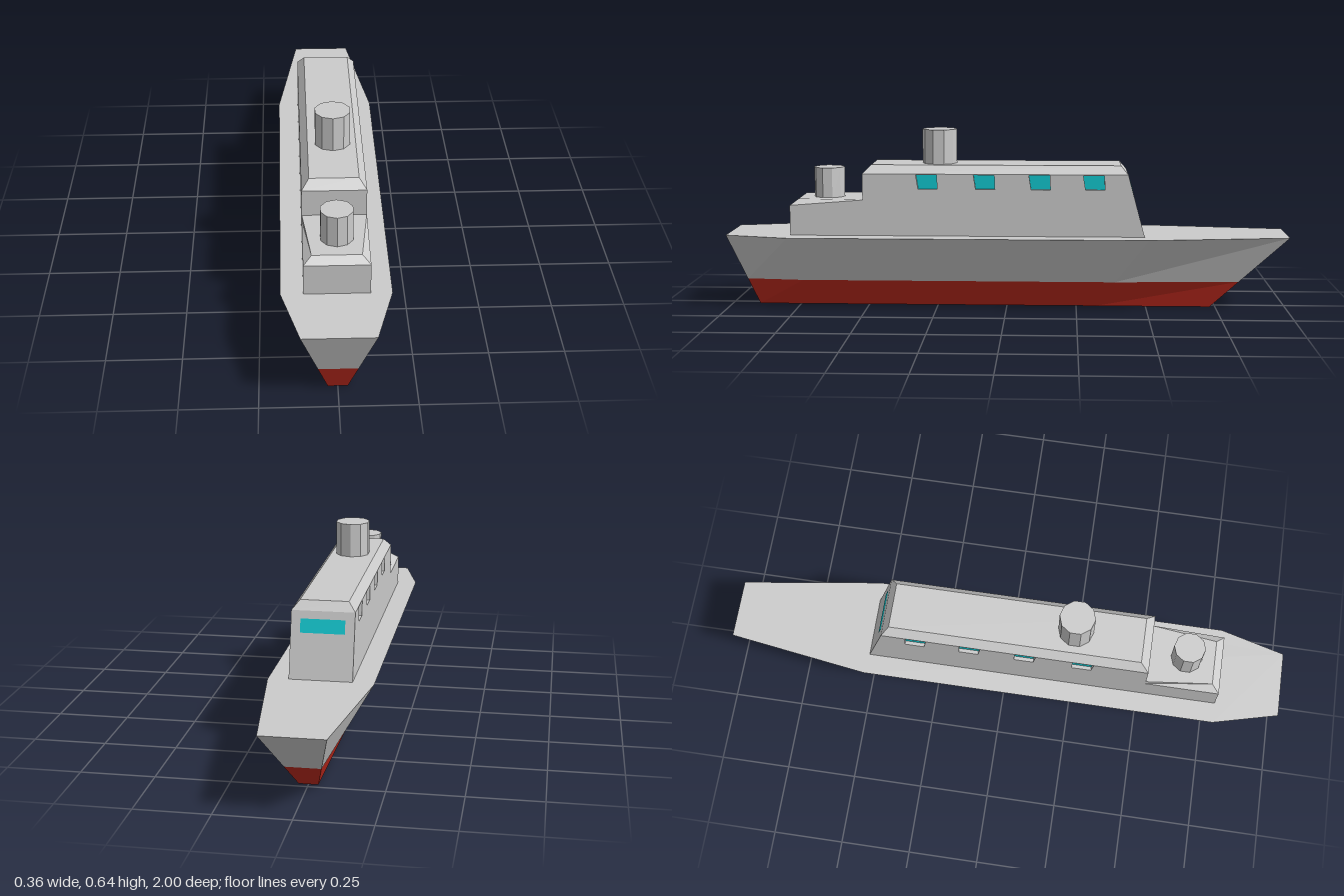
import * as THREE from 'three';

const grey = new THREE.MeshStandardMaterial({ color: 0xcccccc, flatShading: true });
const red = new THREE.MeshStandardMaterial({ color: 0xc02a1e, flatShading: true });
const glass = new THREE.MeshStandardMaterial({ color: 0x10c8d0, flatShading: true, side: THREE.DoubleSide });

// Closed solid through horizontal rings of [x, y, z], bottom to top, counter-clockwise from above
function loft(rings) {
  const pos = [];
  const tri = (a, b, c) => pos.push(...a, ...b, ...c);
  const n = rings[0].length;
  for (let r = 0; r < rings.length - 1; r++) {
    for (let i = 0; i < n; i++) {
      const j = (i + 1) % n, lo = rings[r], hi = rings[r + 1];
      tri(lo[i], lo[j], hi[j]);
      tri(lo[i], hi[j], hi[i]);
    }
  }
  const base = rings[0], top = rings[rings.length - 1];
  for (let i = 1; i < n - 1; i++) {
    tri(base[0], base[i + 1], base[i]);
    tri(top[0], top[i], top[i + 1]);
  }
  const g = new THREE.BufferGeometry();
  g.setAttribute('position', new THREE.Float32BufferAttribute(pos, 3));
  g.computeVertexNormals();
  return g;
}

// Symmetric ring from [halfWidth, z] stations listed from +z to -z
function ring(y, stations) {
  const right = stations.map(([w, z]) => [w, y, z]);
  const left = stations.map(([w, z]) => [-w, y, z]).reverse();
  return [...right, ...left];
}

// Side outline of [z, y] points, extruded along +x from x0
const outline = (pts) => pts.map(([z, y]) => new THREE.Vector2(-z, y));
function sideExtrude(pts, x0, depth, holes = []) {
  const shape = new THREE.Shape(outline(pts));
  holes.forEach((h) => shape.holes.push(new THREE.Path(outline(h))));
  return new THREE.ExtrudeGeometry(shape, { depth, bevelEnabled: false })
    .rotateY(Math.PI / 2).translate(x0, 0, 0);
}

function add(parent, name, geometry, material) {
  const mesh = new THREE.Mesh(geometry, material);
  mesh.name = name;
  parent.add(mesh);
  return mesh;
}

export function createModel() {
  const ship = new THREE.Group();
  ship.name = 'ship';

  // Hull: keel and deck outlines, blended at the waterline
  const deckY = 0.265, waterY = 0.098;
  const keel = [[0.032, 0.9], [0.032, 0.71], [0.032, -0.32], [0.032, -0.73]];
  const deck = [[0.118, 1], [0.178, 0.77], [0.178, -0.5], [0.106, -1]];
  const t = waterY / deckY;
  const water = keel.map((k, i) => k.map((v, c) => v + (deck[i][c] - v) * t));
  add(ship, 'lowerHull', loft([ring(0, keel), ring(waterY, water)]), red);
  add(ship, 'upperHull', loft([ring(waterY, water), ring(deckY, deck)]), grey);

  const house = new THREE.Group();
  house.name = 'deckhouse';
  house.position.x = 0.002;
  ship.add(house);

  // Main cabin: solid core with pierced side walls
  const half = 0.107, wall = 0.015, eaveY = 0.486;
  const profile = [[0.51, deckY], [-0.49, deckY], [-0.43, eaveY], [0.51, eaveY]];
  const windows = [0.282, 0.078, -0.118, -0.31].map((c) => [
    [c + 0.03, 0.432], [c - 0.038, 0.432], [c - 0.036, 0.483], [c + 0.038, 0.483],
  ]);
  const inner = half - wall;
  add(house, 'cabinCore', sideExtrude(profile, -inner, inner * 2), grey);
  for (const [side, wallX, paneX] of [['left', inner, inner], ['right', -half, -inner - 0.002]]) {
    add(house, side + 'CabinWall', sideExtrude(profile, wallX, wall, windows), grey);
    windows.forEach((w, i) =>
      add(house, side + 'Window' + (i + 1), sideExtrude(w, paneX, 0.002), glass));
  }

  // Chamfered cabin roof
  add(house, 'cabinRoof', loft([
    ring(eaveY, [[half, 0.51], [half, -0.43]]),
    ring(0.516, [[0.082, 0.48], [0.082, -0.405]]),
  ]), grey);

  // Sloping bridge window
  const tilt = Math.atan2(0.06, eaveY - deckY);
  const bridge = add(house, 'bridgeWindow',
    new THREE.PlaneGeometry(0.15, 0.047).rotateY(Math.PI).rotateX(tilt), glass);
  bridge.position.set(0, 0.438, -0.4445);

  // Low after cabin, its chamfer fading out towards the main cabin
  add(house, 'afterCabin', loft([
    ring(deckY, [[half, 0.77], [half, 0.505]]),
    ring(0.372, [[half, 0.77], [half, 0.505]]),
    ring(0.393, [[0.08, 0.742], [half, 0.505]]),
  ]), grey);

  // Funnels: [name, radius, bottom, top, z]
  for (const [name, r, y0, y1, z] of [
    ['mainFunnel', 0.062, 0.51, 0.638, 0.242],
    ['afterFunnel', 0.055, 0.388, 0.5, 0.642],
  ]) {
    add(ship, name, new THREE.CylinderGeometry(r, r, y1 - y0, 10), grey)
      .position.set(0.005, (y0 + y1) / 2, z);
  }

  return ship;
}
